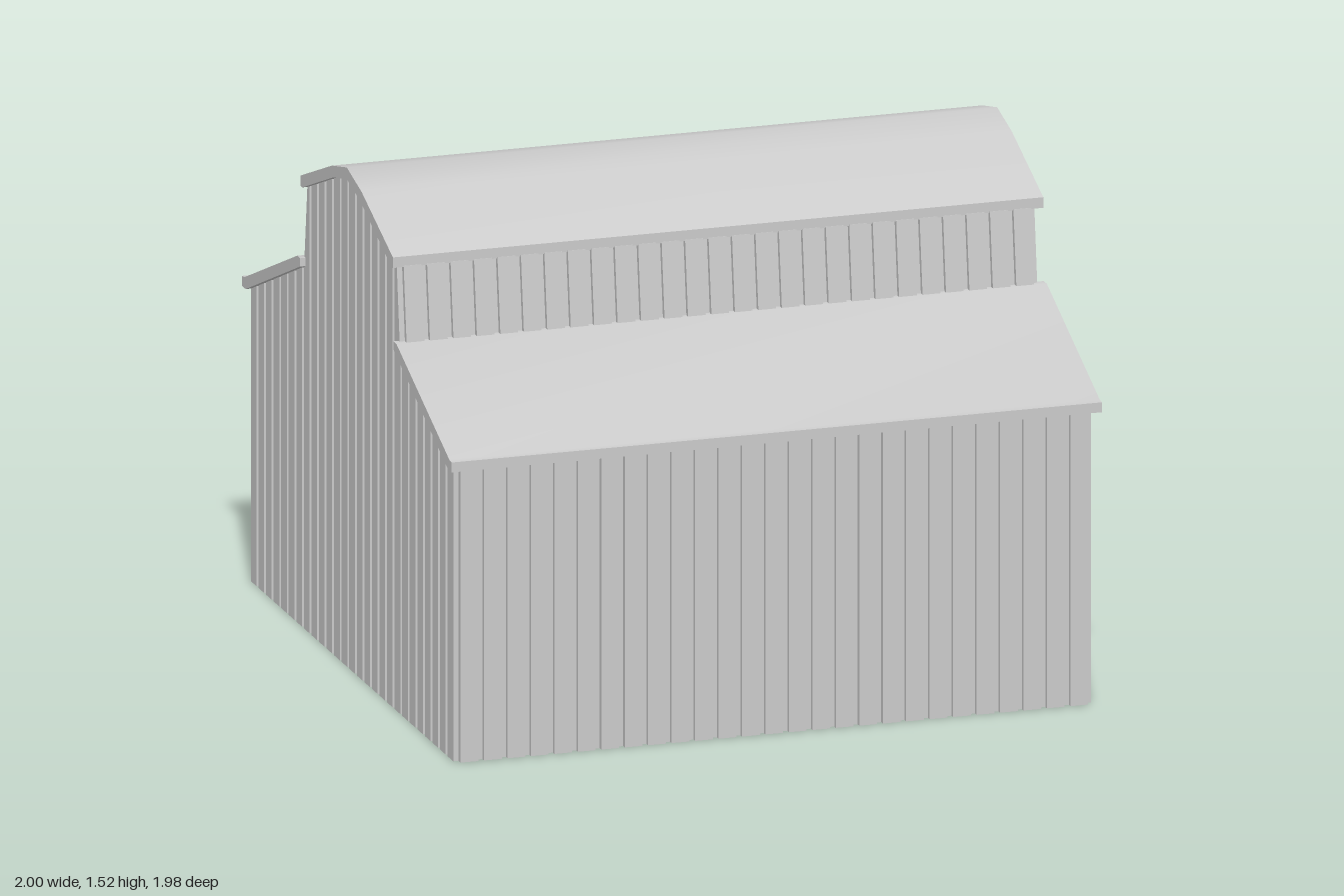
import * as THREE from 'three';
import { mergeGeometries, toCreasedNormals } from 'three/addons/utils/BufferGeometryUtils.js';

const material = new THREE.MeshStandardMaterial({ color: 0xcccccc });
const PITCH = 0.0714, BOARD = 0.054, DEPTH = 0.016, COUNT = 27;
const X0 = -0.968, X1 = 0.941; // ends of the core behind the gable boards

// Half outline of the barn: [distance from the centre, height]
const HALF = [[0, 1.492], [0.135, 1.458], [0.422, 1.346], [0.452, 1.1], [0.96, 0.89]];

function heightAt(u) {
  const d = Math.abs(u);
  for (let i = 1; i < HALF.length; i++) {
    const [a, ya] = HALF[i - 1], [b, yb] = HALF[i];
    if (d <= b) return ya + (yb - ya) * (d - a) / (b - a);
  }
  return HALF[HALF.length - 1][1];
}

// Extrude an outline drawn as seen from +x (u = -z) between two x positions
function alongX(points, x0, x1, holes = []) {
  const toVectors = list => list.map(([u, y]) => new THREE.Vector2(u, y));
  const shape = new THREE.Shape(toVectors(points));
  holes.forEach(h => shape.holes.push(new THREE.Path(toVectors(h))));
  const g = new THREE.ExtrudeGeometry(shape, { depth: x1 - x0, bevelEnabled: false });
  return g.rotateY(Math.PI / 2).translate(x0, 0, 0);
}

// Outline under the roof between two u positions
function underRoof(u0, u1) {
  const breaks = HALF.flatMap(([d]) => d ? [-d, d] : [0]).filter(u => u > u0 + 1e-4 && u < u1 - 1e-4);
  const top = [u0, ...breaks.sort((a, b) => a - b), u1].map(u => [u, heightAt(u)]);
  return [[u1, 0], [u0, 0], ...top];
}

const rect = (a, b, c, d) => [[a, c], [b, c], [b, d], [a, d]];
const mirrored = points => points.map(([u, y]) => [-u, y]);

export function createModel() {
  const barn = new THREE.Group();
  barn.name = 'barn';
  const add = (name, geometry, parent = barn) => {
    const mesh = new THREE.Mesh(geometry, material);
    mesh.name = name;
    parent.add(mesh);
    return mesh;
  };

  add('wallCore', alongX(underRoof(-0.96, 0.96), X0, X1));

  // Vertical boards on both gables, cut to the roof line
  for (const [name, x] of [['leftGableBoards', X1], ['rightGableBoards', X0 - DEPTH]]) {
    const boards = [];
    for (let i = 0; i < COUNT; i++) {
      const u = (i - (COUNT - 1) / 2) * PITCH;
      boards.push(alongX(underRoof(Math.max(-0.96, u - BOARD / 2), Math.min(0.96, u + BOARD / 2)), x, x + DEPTH));
    }
    add(name, mergeGeometries(boards));
  }

  // Boards on the low side walls and the leaning clerestory walls
  const lean = Math.atan2(0.03, 0.246);
  for (const [side, s] of [['front', 1], ['back', -1]]) {
    const low = [], high = [];
    for (let i = 0; i < COUNT; i++) {
      const x = X0 + BOARD / 2 + i * PITCH;
      low.push(new THREE.BoxGeometry(BOARD, 0.89, DEPTH).translate(x, 0.445, s * 0.967));
      high.push(new THREE.BoxGeometry(BOARD, 0.25, DEPTH).rotateX(-s * lean).translate(x, 1.224, s * 0.445));
    }
    add(side + 'WallBoards', mergeGeometries(low));
    add(side + 'ClerestoryBoards', mergeGeometries(high));
  }

  // Roofs: two lean-to slopes and the curved upper roof
  const eave = [[0.99, 0.885], [0.99, 0.915], [0.968, 0.917], [0.468, 1.125], [0.44, 1.125], [0.44, 1.1], [0.955, 0.885]];
  add('backLowerRoof', toCreasedNormals(alongX(eave, -1, 0.98), 0.5));
  add('frontLowerRoof', toCreasedNormals(alongX(mirrored(eave), -1, 0.98), 0.5));
  const outer = [[0.435, 1.345], [0.435, 1.377], [0.14, 1.491]];
  const inner = [[0.13, 1.458], [0.42, 1.345]];
  const upper = [...outer, [0, 1.525], ...mirrored(outer).reverse(),
    ...mirrored(inner).reverse(), [0, 1.49], ...inner];
  add('upperRoof', toCreasedNormals(alongX(upper, -1, 0.98), 0.6));

  // Double door with four sunken panels
  const door = new THREE.Group();
  door.name = 'door';
  barn.add(door);
  const panels = [];
  for (const [a, b] of [[-0.4, -0.02], [0.02, 0.4]])
    for (const [c, d] of [[0.03, 0.35], [0.385, 0.7]]) panels.push([a, b, c, d]);
  add('doorFrame', alongX(rect(-0.425, 0.425, 0, 0.725), 0.95, 1, panels.map(p => rect(...p))), door);
  add('doorBacking', new THREE.BoxGeometry(0.01, 0.72, 0.84).translate(0.957, 0.361, 0), door);

  const INSET = 0.027;
  for (const [a, b, c, d] of panels) {
    // Sloping edges from the frame down to the backing
    const front = rect(a, b, c, d), back = rect(a + INSET, b - INSET, c + INSET, d - INSET);
    const pos = [];
    for (let i = 0; i < 4; i++) {
      const j = (i + 1) % 4;
      const f = ([u, y]) => [0.998, y, -u], r = ([u, y]) => [0.962, y, -u];
      pos.push(...f(front[i]), ...f(front[j]), ...r(back[j]),
        ...f(front[i]), ...r(back[j]), ...r(back[i]));
    }
    const bevel = new THREE.BufferGeometry();
    bevel.setAttribute('position', new THREE.Float32BufferAttribute(pos, 3));
    bevel.computeVertexNormals();
    add('panelBevel', bevel, door);

    // Diagonal brace rising toward the middle of the door
    const s = a < 0 ? 1 : -1, w = 0.04;
    const from = s > 0 ? a : b, to = s > 0 ? b : a;
    const brace = [[from, c], [from + s * w, c], [to, d - w], [to, d], [to - s * w, d], [from, c + w]];
    add('diagonalBrace', alongX(brace, 0.958, 0.99), door);
  }
  return barn;
}
